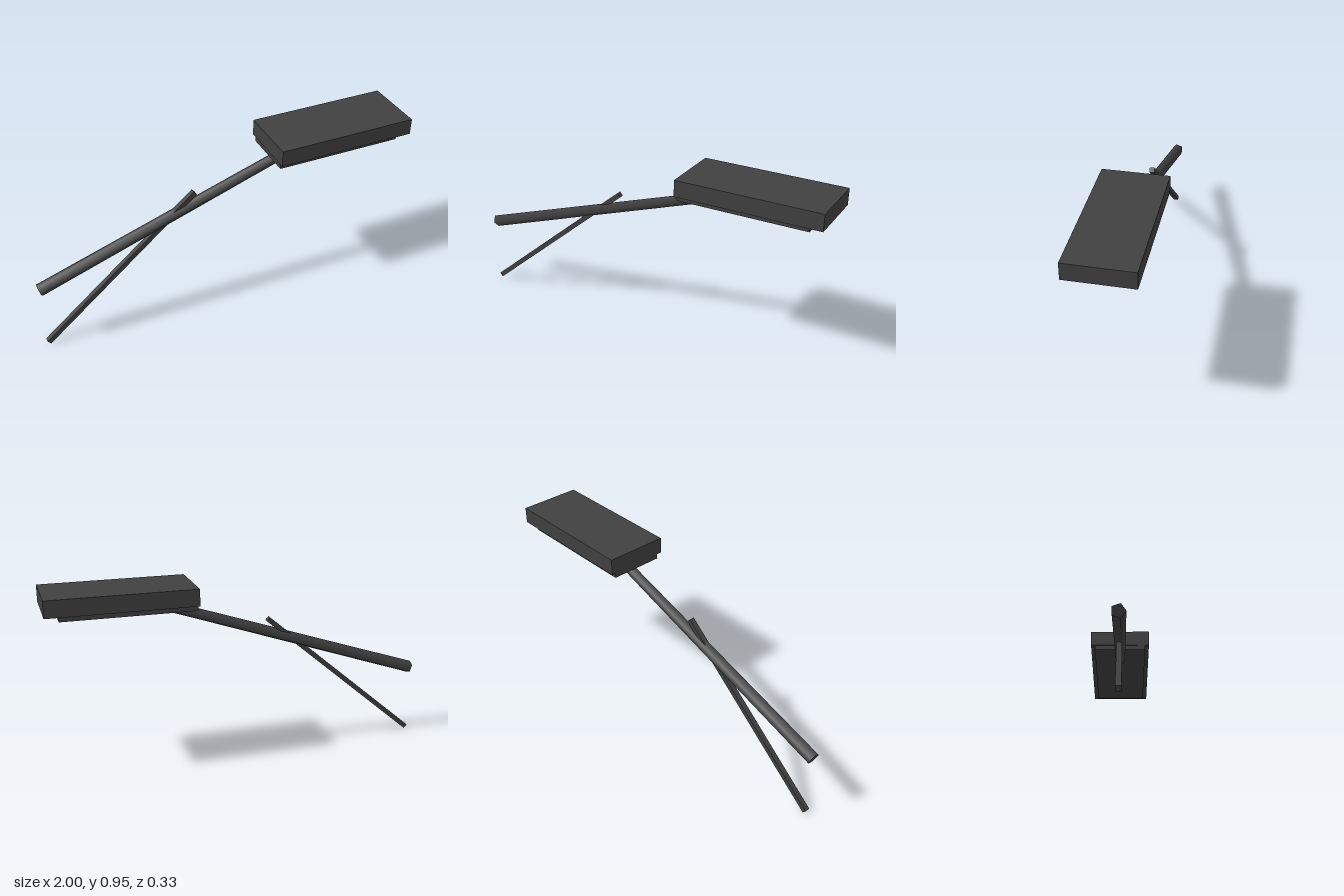
import * as THREE from 'three';

export function createModel() {
  const model = new THREE.Group();
  const darkGrey = new THREE.MeshStandardMaterial({ color: 0x404040 });
  darkGrey.name = 'darkGrey';

  const add = (name, geometry, x, y) => {
    const mesh = new THREE.Mesh(geometry, darkGrey);
    mesh.name = name;
    mesh.position.set(x, y, 0);
    model.add(mesh);
    return mesh;
  };

  // Bar running between two points in the x-y plane; make(length) gives its geometry along y
  const addBar = (name, [x0, y0], [x1, y1], make) => {
    const dx = x1 - x0, dy = y1 - y0;
    const bar = add(name, make(Math.hypot(dx, dy)), (x0 + x1) / 2, (y0 + y1) / 2);
    bar.rotation.z = Math.atan2(dy, dx) - Math.PI / 2;
  };

  // Lamp head and the shallow lens panel beneath it
  add('lampHousing', new THREE.BoxGeometry(0.746, 0.086, 0.33), 0.627, 0.903);
  add('lensPanel', new THREE.BoxGeometry(0.673, 0.03, 0.284), 0.5935, 0.847);

  // Tapered five-sided arm, thinner toward the lamp
  addBar('arm', [-0.99, 0.365], [0.4, 0.835],
    (length) => new THREE.CylinderGeometry(0.028, 0.034, length, 5));

  // Thin square brace crossing the arm
  addBar('brace', [-0.986, 0.01], [-0.15, 0.718],
    (length) => new THREE.BoxGeometry(0.026, length, 0.027));

  return model;
}
